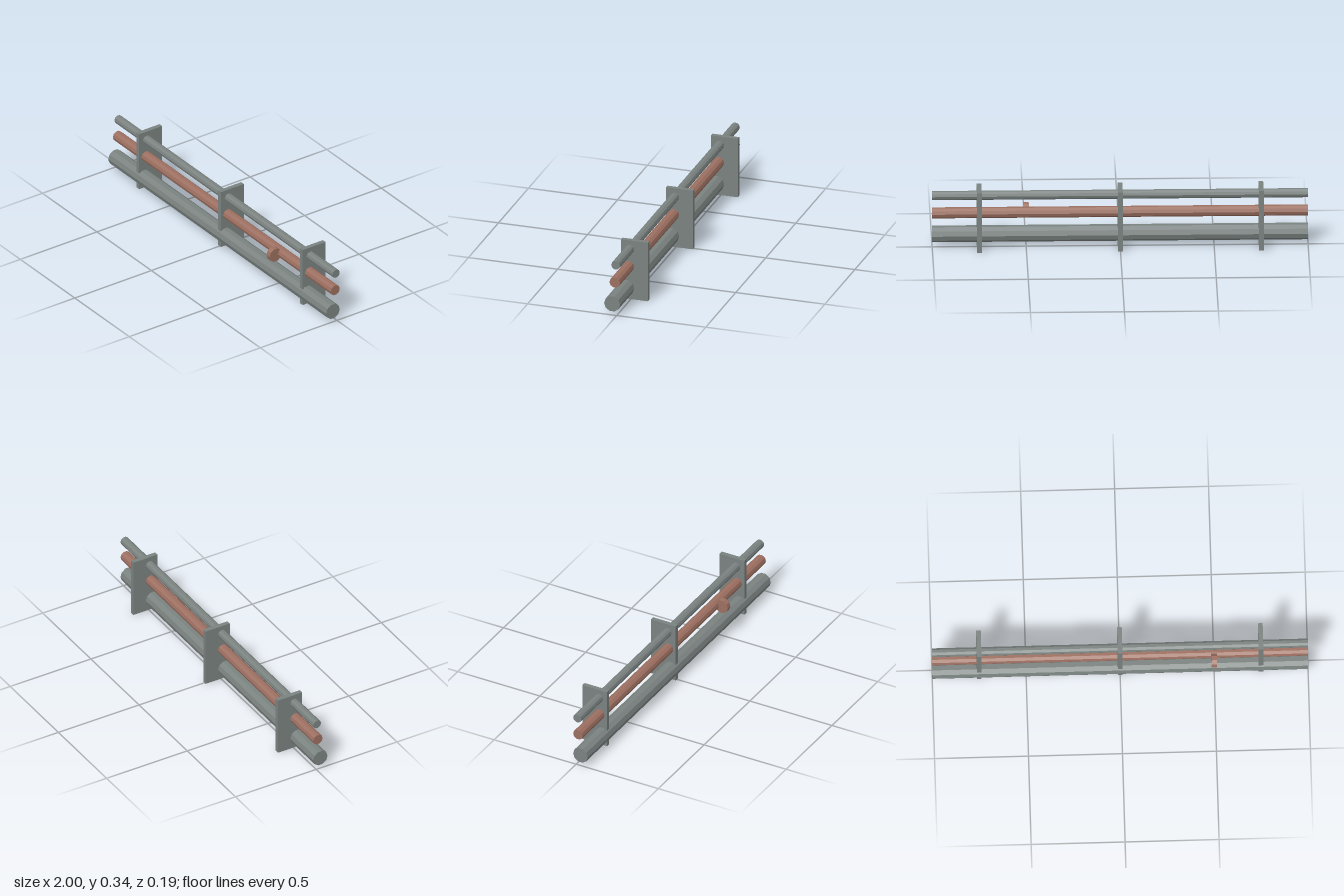
import * as THREE from 'three';

export function createModel() {
  const group = new THREE.Group();
  const steel = new THREE.MeshStandardMaterial({ name: 'greySteel', color: 0x7a8280, flatShading: true });
  const copper = new THREE.MeshStandardMaterial({ name: 'copper', color: 0x9c6f60, flatShading: true });

  // Ten-sided cylinder lying along x
  function rod(name, material, radius, length, x, y, z) {
    const geometry = new THREE.CylinderGeometry(radius, radius, length, 10);
    geometry.rotateZ(Math.PI / 2);
    const mesh = new THREE.Mesh(geometry, material);
    mesh.name = name;
    mesh.position.set(x, y, z);
    group.add(mesh);
  }

  // Three parallel pipes
  rod('largePipe', steel, 0.0445, 2, 0, 0.064, 0.026);
  rod('copperPipe', copper, 0.0295, 2, 0, 0.189, 0.011);
  rod('smallPipe', steel, 0.0245, 2, 0, 0.289, 0.006);

  // Valve wheel on the copper pipe
  rod('valveWheel', copper, 0.0395, 0.03, 0.5, 0.189, 0.055);

  // Support plates that carry the pipes
  for (const x of [-0.75, 0, 0.75]) {
    const plate = new THREE.Mesh(new THREE.BoxGeometry(0.025, 0.3375, 0.15), steel);
    plate.name = 'supportPlate';
    plate.position.set(x, 0.16875, -0.02);
    group.add(plate);
  }
  return group;
}
